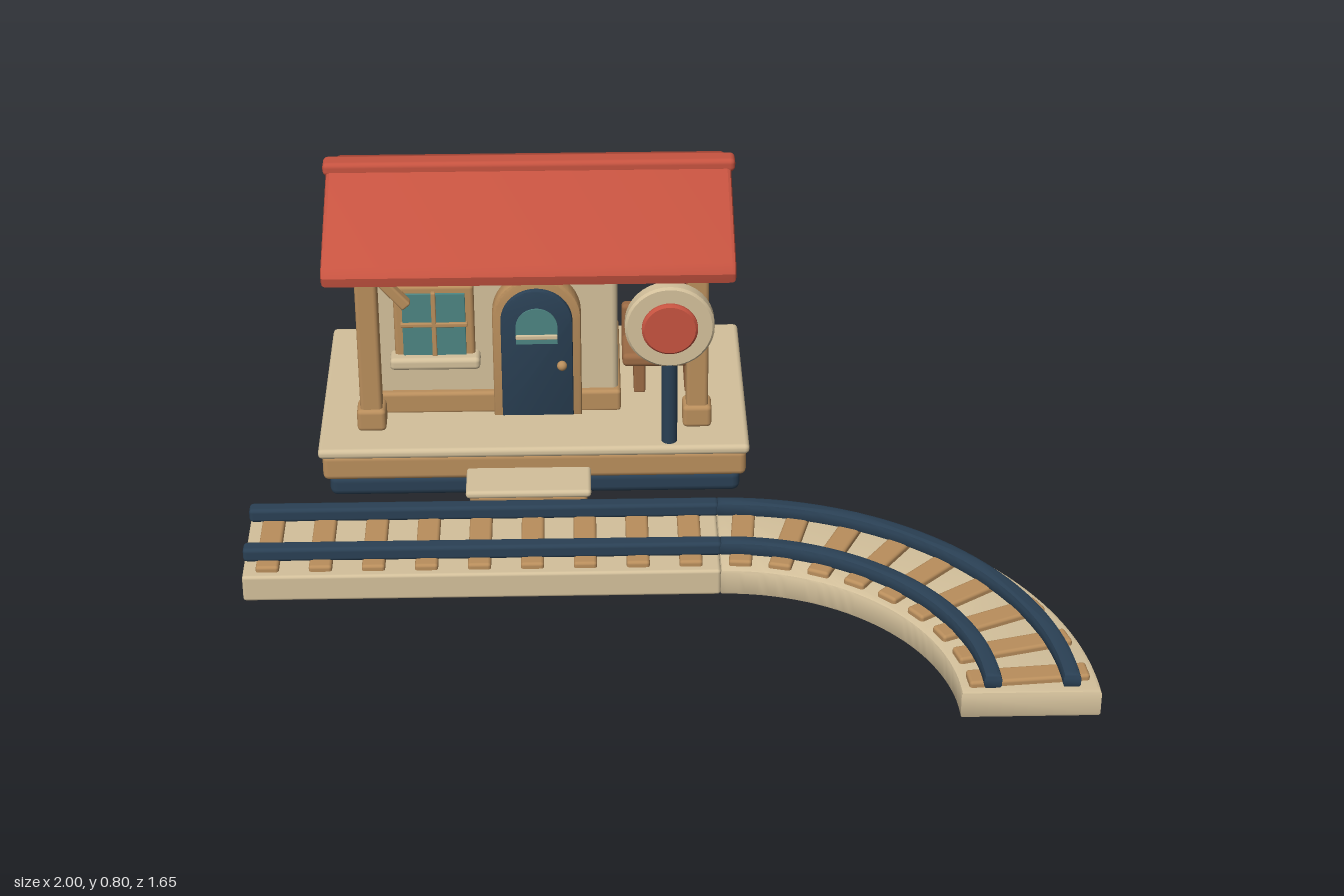
import * as THREE from 'three';
import { toCreasedNormals } from 'three/addons/utils/BufferGeometryUtils.js';
import { RoundedBoxGeometry } from 'three/addons/geometries/RoundedBoxGeometry.js';

const material = (name, color) => {
  const m = new THREE.MeshStandardMaterial({ color });
  m.name = name;
  return m;
};

export function createModel() {
  const cream = material('cream', 0xd3c09b);
  const wood = material('wood', 0xb98e5c);
  const brown = material('brown', 0x9b6a44);
  const red = material('red', 0xc65340);
  const navy = material('navy', 0x2a4054);
  const teal = material('teal', 0x4d8582);

  const model = new THREE.Group();
  model.name = 'railwayStation';
  const group = (name, parent = model) => {
    const g = new THREE.Group();
    g.name = name;
    parent.add(g);
    return g;
  };
  const add = (parent, name, geometry, mat) => {
    const mesh = new THREE.Mesh(geometry, mat);
    mesh.name = name;
    parent.add(mesh);
    return mesh;
  };
  // Rounded box given by its extents on each axis
  const box = (parent, name, mat, [x0, x1], [y0, y1], [z0, z1], r = 0.01) => {
    const w = x1 - x0, h = y1 - y0, d = z1 - z0;
    const geo = new RoundedBoxGeometry(w, h, d, 2, Math.min(r, w * 0.45, h * 0.45, d * 0.45));
    const mesh = add(parent, name, geo, mat);
    mesh.position.set((x0 + x1) / 2, (y0 + y1) / 2, (z0 + z1) / 2);
    return mesh;
  };
  // Extrusion of exact total depth with softened edges, starting at z = 0
  const extrude = (shape, depth, bevel) => {
    const geo = new THREE.ExtrudeGeometry(shape, {
      depth: depth - 2 * bevel, curveSegments: 28, bevelEnabled: bevel > 0,
      bevelSize: bevel, bevelThickness: bevel, bevelOffset: -bevel, bevelSegments: 2,
    });
    geo.translate(0, 0, bevel);
    return toCreasedNormals(geo, 0.7);
  };

  // Track: a straight run followed by a quarter turn
  const track = group('track');
  const cx = 0.155, cz = 0.825, midR = 0.685, midZ = cz - midR;
  const curve = (name, mat, r0, r1, y0, y1, bevel) => {
    const s = new THREE.Shape();
    s.absarc(cx, cz, r1, -Math.PI / 2, 0, false);
    s.absarc(cx, cz, r0, 0, -Math.PI / 2, true);
    s.closePath();
    const geo = extrude(s, y1 - y0, bevel);
    geo.rotateX(Math.PI / 2);
    add(track, name, geo, mat).position.y = y1;
  };
  box(track, 'straightBed', cream, [-1, cx], [0, 0.07], [midZ - 0.16, midZ + 0.16], 0.008);
  curve('curvedBed', cream, midR - 0.16, midR + 0.16, 0, 0.07, 0.008);
  for (const side of [-0.09, 0.09]) {
    box(track, 'straightRail', navy, [-1, cx + 0.005], [0.079, 0.116], [midZ + side - 0.02, midZ + side + 0.02], 0.01);
    curve('curvedRail', navy, midR + side - 0.02, midR + side + 0.02, 0.079, 0.116, 0.01);
  }
  const sleeperGeo = new RoundedBoxGeometry(0.056, 0.024, 0.28, 2, 0.008);
  for (let i = 0; i < 9; i++) {
    add(track, 'straightSleeper', sleeperGeo, wood).position.set(-0.94 + i * 0.128, 0.073, midZ);
    const a = ((i + 0.5) / 9) * (Math.PI / 2);
    const s = add(track, 'curvedSleeper', sleeperGeo, wood);
    s.position.set(cx + midR * Math.sin(a), 0.073, cz - midR * Math.cos(a));
    s.rotation.y = -a;
  }

  // Platform and step
  const platform = group('platform');
  box(platform, 'platformBase', navy, [-0.82, 0.225], [0, 0.06], [-0.803, -0.177], 0.02);
  box(platform, 'platformBody', wood, [-0.835, 0.24], [0.053, 0.125], [-0.812, -0.168], 0.015);
  box(platform, 'platformTop', cream, [-0.845, 0.248], [0.118, 0.145], [-0.818, -0.162], 0.012);
  box(platform, 'stepBody', wood, [-0.46, -0.165], [0, 0.07], [-0.19, -0.058]);
  box(platform, 'stepTop', cream, [-0.47, -0.155], [0.065, 0.086], [-0.195, -0.05]);

  // House walls
  const house = group('house');
  box(house, 'walls', cream, [-0.735, -0.082], [0.14, 0.605], [-0.743, -0.37], 0.015);
  box(house, 'wallTrim', wood, [-0.745, -0.075], [0.14, 0.202], [-0.75, -0.352], 0.01);

  // Roof
  const roof = group('roof');
  const chevron = [[0, 0.788], [0.322, 0.661], [0.337, 0.638], [0.332, 0.613], [0.305, 0.613], [0, 0.728]];
  const left = chevron.slice(1, 5).reverse().map(([x, y]) => [-x, y]);
  const roofShape = new THREE.Shape([...chevron, ...left].map(([x, y]) => new THREE.Vector2(x, y)));
  const roofGeo = extrude(roofShape, 1.02, 0.01);
  roofGeo.rotateY(Math.PI / 2);
  add(roof, 'roofSlopes', roofGeo, red).position.set(-0.812, 0, -0.492);
  box(roof, 'ridgeCap', red, [-0.82, 0.218], [0.765, 0.801], [-0.52, -0.464], 0.013);

  // Porch posts, beam and braces
  const porch = group('porch');
  box(porch, 'porchBeam', wood, [-0.755, 0.157], [0.577, 0.632], [-0.327, -0.26], 0.012);
  for (const [x, dir] of [[-0.712, 1], [0.118, -1]]) {
    box(porch, 'post', wood, [x - 0.028, x + 0.028], [0.145, 0.6], [-0.322, -0.267]);
    box(porch, 'postFoot', wood, [x - 0.037, x + 0.037], [0.143, 0.205], [-0.33, -0.258], 0.012);
    const brace = box(porch, 'brace', wood, [-0.065, 0.065], [-0.014, 0.014], [-0.015, 0.015], 0.006);
    brace.position.set(x + dir * 0.058, 0.538, -0.295);
    brace.rotation.z = -dir * 0.86;
  }

  // Arched door
  const door = group('door');
  const doorX = -0.288;
  const arch = (name, mat, width, y0, y1, z0, z1, bevel) => {
    const r = width / 2, s = new THREE.Shape();
    s.moveTo(-r, y0);
    s.lineTo(r, y0);
    s.absarc(0, y1 - r, r, 0, Math.PI, false);
    s.closePath();
    add(door, name, extrude(s, z1 - z0, bevel), mat).position.set(doorX, 0, z0);
  };
  arch('doorSurround', wood, 0.225, 0.145, 0.543, -0.38, -0.327, 0.008);
  arch('doorLeaf', navy, 0.182, 0.153, 0.515, -0.35, -0.314, 0.006);
  arch('doorGlass', teal, 0.106, 0.365, 0.465, -0.316, -0.31, 0);
  box(door, 'doorGlassBar', cream, [doorX - 0.053, doorX + 0.053], [0.379, 0.392], [-0.316, -0.305], 0.003);
  const knob = add(door, 'doorKnob', new THREE.SphereGeometry(0.013, 16, 12), wood);
  knob.position.set(-0.225, 0.303, -0.307);

  // Front window: frame, four panes and sill
  const frontWindow = group('frontWindow');
  const wx = -0.548, wy = 0.408;
  box(frontWindow, 'frame', wood, [wx - 0.102, wx + 0.102], [0.3, 0.515], [-0.38, -0.347], 0.01);
  box(frontWindow, 'glass', teal, [wx - 0.08, wx + 0.08], [0.318, 0.495], [-0.35, -0.342], 0.002);
  box(frontWindow, 'uprightBar', wood, [wx - 0.006, wx + 0.006], [0.31, 0.5], [-0.35, -0.335], 0.003);
  box(frontWindow, 'crossBar', wood, [wx - 0.085, wx + 0.085], [wy - 0.006, wy + 0.006], [-0.35, -0.335], 0.003);
  box(frontWindow, 'sill', cream, [wx - 0.115, wx + 0.115], [0.286, 0.32], [-0.38, -0.318], 0.012);

  // Back window: frame with two panes
  const backWindow = group('backWindow');
  const bx = -0.455;
  box(backWindow, 'frame', wood, [bx - 0.128, bx + 0.128], [0.302, 0.493], [-0.777, -0.735], 0.01);
  for (const s of [-1, 1]) {
    const px = bx + s * 0.055;
    box(backWindow, 'pane', teal, [px - 0.047, px + 0.047], [0.325, 0.47], [-0.784, -0.775], 0.002);
  }

  // Bench
  const bench = group('bench');
  box(bench, 'benchSeat', brown, [-0.07, 0.152], [0.235, 0.273], [-0.556, -0.412], 0.014);
  box(bench, 'benchBack', brown, [-0.07, 0.152], [0.25, 0.36], [-0.556, -0.522], 0.012);
  for (const x of [-0.025, 0.107]) {
    box(bench, 'benchLeg', brown, [x - 0.015, x + 0.015], [0.143, 0.245], [-0.555, -0.442], 0.006);
  }

  // Round signal sign on a pole
  const sign = group('sign');
  const pole = add(sign, 'signPole', new THREE.CylinderGeometry(0.02, 0.02, 0.3, 20), navy);
  pole.position.set(0.045, 0.293, -0.197);
  const disc = (name, mat, r, z0, z1) => {
    const b = 0.006, d = z1 - z0;
    const profile = [[0, 0], [r - b, 0], [r, b], [r, d - b], [r - b, d], [0, d]];
    const geo = new THREE.LatheGeometry(profile.map(([x, y]) => new THREE.Vector2(x, y)), 40);
    geo.rotateX(Math.PI / 2);
    add(sign, name, toCreasedNormals(geo, 0.5), mat).position.set(0.045, 0.48, z0);
  };
  disc('signDisc', cream, 0.112, -0.216, -0.175);
  disc('signCentre', red, 0.07, -0.18, -0.162);

  return model;
}
